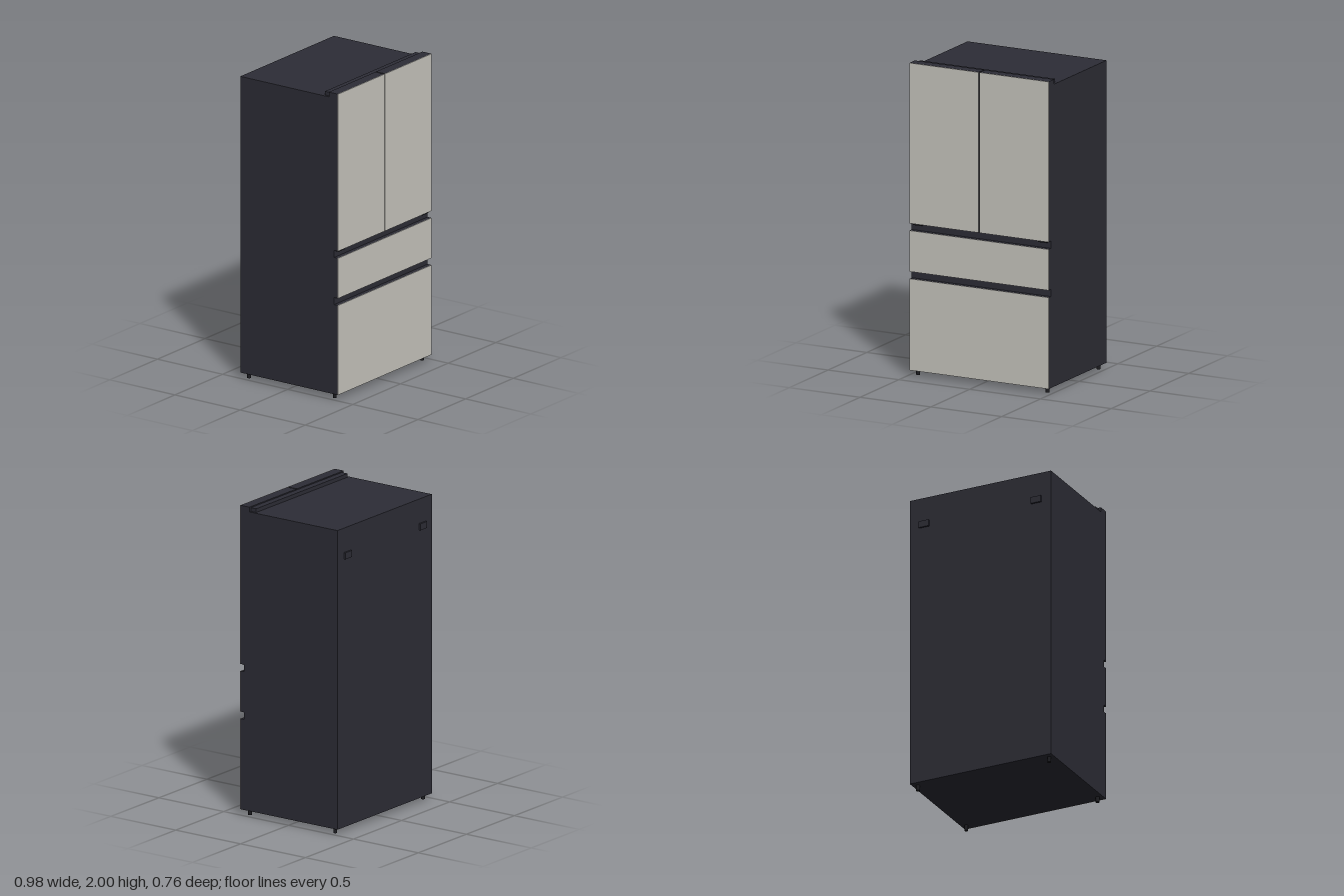
import * as THREE from 'three';

export function createModel() {
  const model = new THREE.Group();
  model.name = 'refrigerator';

  const mat = (name, color) => {
    const m = new THREE.MeshStandardMaterial({ color });
    m.name = name;
    return m;
  };
  const charcoal = mat('charcoal', 0x2d2d36);
  const panelGrey = mat('warmGrey', 0xc9c7c0);
  const black = mat('black', 0x1c1c20);

  // Box given by its limits on each axis
  const block = (name, material, [x0, x1], [y0, y1], [z0, z1], parent = model) => {
    const mesh = new THREE.Mesh(new THREE.BoxGeometry(x1 - x0, y1 - y0, z1 - z0), material);
    mesh.position.set((x0 + x1) / 2, (y0 + y1) / 2, (z0 + z1) / 2);
    mesh.name = name;
    parent.add(mesh);
    return mesh;
  };

  const W = 0.491, BOTTOM = 0.035, DOOR_BACK = 0.309, FRONT = 0.38, SKIN = 0.004;

  // Cabinet and the cover strip over the door hinges
  block('cabinet', charcoal, [-W, W], [BOTTOM, 1.969], [-0.37, DOOR_BACK]);
  block('hingeCover', charcoal, [-0.475, 0.475], [1.969, 1.993], [0.268, DOOR_BACK]);

  // Dark door cores with a thin pale front panel
  const front = (name, x, y) => {
    const group = new THREE.Group();
    group.name = name;
    block(name + 'Core', charcoal, x, y, [DOOR_BACK, FRONT - SKIN], group);
    block(name + 'Panel', panelGrey, x, y, [FRONT - SKIN, FRONT], group);
    model.add(group);
  };
  front('rightDoor', [-W, -0.004], [0.974, 2]);
  front('leftDoor', [0.004, W], [0.974, 2]);
  front('middleDrawer', [-W, W], [0.666, 0.928]);
  front('bottomDrawer', [-W, W], [BOTTOM, 0.62]);

  // Recessed finger grips between the fronts
  block('upperGrip', charcoal, [-W, W], [0.928, 0.974], [DOOR_BACK, 0.35]);
  block('lowerGrip', charcoal, [-W, W], [0.62, 0.666], [DOOR_BACK, 0.35]);

  for (const side of [-1, 1]) {
    const span = (a, b) => (side > 0 ? [a, b] : [-b, -a]);
    // Lower hinge plates and wall spacers
    block('lowerHinge', black, span(0.41, 0.472), [0.964, 0.974], [0.35, 0.37]);
    block('wallSpacer', charcoal, span(0.355, 0.425), [1.769, 1.811], [-0.382, -0.37]);

    // Feet
    for (const z of [-0.328, 0.33]) {
      const foot = new THREE.Mesh(new THREE.CylinderGeometry(0.012, 0.012, BOTTOM, 20), black);
      foot.position.set(side * 0.457, BOTTOM / 2, z);
      foot.name = 'foot';
      model.add(foot);
    }
  }
  return model;
}
